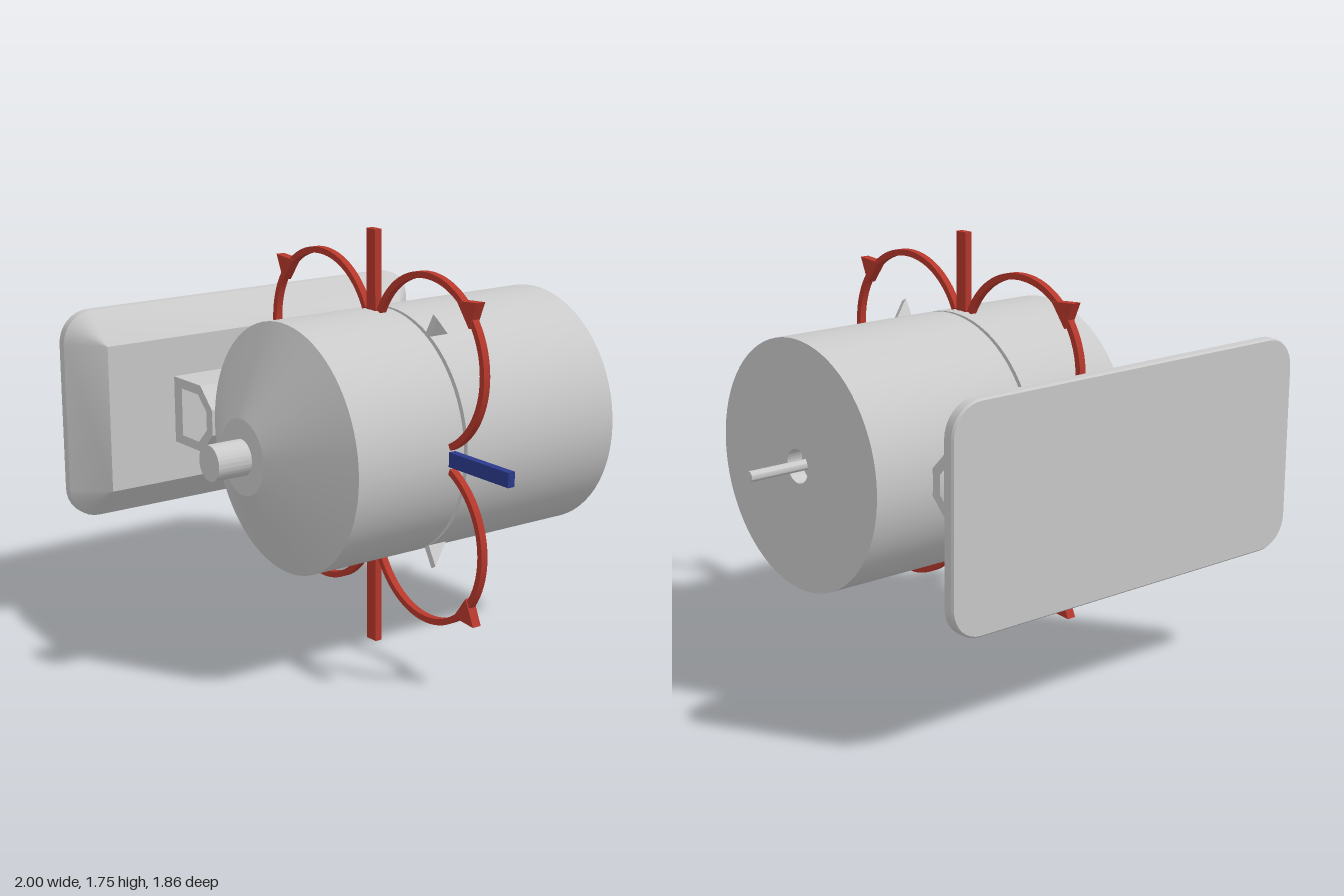
import * as THREE from 'three';
import { toCreasedNormals } from 'three/addons/utils/BufferGeometryUtils.js';
import { ConvexGeometry } from 'three/addons/geometries/ConvexGeometry.js';

const grey = new THREE.MeshStandardMaterial({ color: 0xcccccc });
const red = new THREE.MeshStandardMaterial({ color: 0xb8382c });
const blue = new THREE.MeshStandardMaterial({ color: 0x2b3a8c });

const AXIS_Y = 0.907, AXIS_Z = 0.06; // drum axis, parallel to x
const FIELD_X = -0.085;              // plane of the arrows and loops

function add(parent, name, geometry, material = grey) {
  const mesh = new THREE.Mesh(geometry, material);
  mesh.name = name;
  parent.add(mesh);
  return mesh;
}

const polygon = (pts) => new THREE.Shape(pts.map(([a, b]) => new THREE.Vector2(a, b)));

// Extrude a (z, y) outline along x, centred on x = cx
function extrudeX(shape, width, cx) {
  const g = new THREE.ExtrudeGeometry(shape, { depth: width, bevelEnabled: false, curveSegments: 40 });
  return toCreasedNormals(g.translate(0, 0, -width / 2).rotateY(-Math.PI / 2).translate(cx, 0, 0), 0.5);
}

// Revolve an [x, radius] profile about the x axis
function latheX(profile) {
  const g = new THREE.LatheGeometry(profile.map(([x, r]) => new THREE.Vector2(r, x)), 72);
  return toCreasedNormals(g.rotateZ(-Math.PI / 2), 0.4);
}

export function createModel() {
  const model = new THREE.Group();
  const machine = new THREE.Group();
  machine.name = 'machine';
  machine.position.set(0, AXIS_Y, AXIS_Z);
  model.add(machine);

  // Drum: cone end, seam groove, countersunk bore at the shaft end
  add(machine, 'drum', latheX([
    [-0.73, 0], [-0.73, 0.155], [-0.535, 0.513], [-0.024, 0.513], [-0.024, 0.48],
    [-0.007, 0.48], [-0.007, 0.513], [0.77, 0.513], [0.77, 0.07], [0.7, 0.07],
    [0.7, 0.045], [0.6, 0.045], [0.6, 0],
  ]));
  add(machine, 'rearStub', latheX([[-0.88, 0], [-0.88, 0.073], [-0.72, 0.073]]));
  add(machine, 'outputShaft', latheX([[0.59, 0.022], [1, 0.022], [1, 0]]));

  // Triangular fins beside the seam
  for (const angle of [Math.PI / 6, Math.PI * 5 / 6]) {
    const fin = new THREE.ExtrudeGeometry(polygon([[-0.007, 0.49], [0.08, 0.5], [0.08, 0.515], [-0.007, 0.603]]),
      { depth: 0.03, bevelEnabled: false });
    add(machine, 'fin', fin.translate(0, 0, -0.015).rotateX(angle));
  }

  // Straight field bars
  const bar = (name, h, d, y, z, material) =>
    add(machine, name, new THREE.BoxGeometry(0.032, h, d).translate(FIELD_X, y, z), material);
  bar('upperBar', 0.35, 0.06, 0.668, 0, red);
  bar('lowerBar', 0.417, 0.06, -0.6985, 0, red);
  bar('frontBar', 0.06, 0.39, 0, 0.675, blue);
  bar('backBar', 0.06, 0.27, 0, -0.615, blue);

  // Four field loops with arrowheads
  for (const sz of [1, -1]) for (const sy of [1, -1]) {
    const mid = Math.atan2(sy, sz), half = 1.9;
    const arc = new THREE.Shape();
    arc.absarc(sz * 0.36, sy * 0.36, 0.359, mid - half, mid + half, false);
    arc.absarc(sz * 0.36, sy * 0.36, 0.333, mid + half, mid - half, true);
    add(machine, 'fieldLoop', extrudeX(arc, 0.03, FIELD_X), red);
    const head = [[0.678, 0.648], [0.555, 0.638], [0.63, 0.541]].map(([z, y]) => [sz * z, sy * y]);
    add(machine, 'arrowhead', extrudeX(polygon(head), 0.04, FIELD_X), red);
  }

  // Hollow mounting bracket
  const bracket = polygon([[-0.755, 1.052], [-0.54, 1.052], [-0.45, 0.962], [-0.45, 0.853], [-0.54, 0.763], [-0.755, 0.763]]);
  bracket.holes.push(polygon([[-0.692, 1.01], [-0.56, 1.01], [-0.495, 0.947], [-0.495, 0.867], [-0.56, 0.803], [-0.692, 0.803]]));
  add(model, 'bracket', extrudeX(bracket, 1.05, -0.025));

  // Mounting plate: rounded slab tapering to a sharp rectangle
  const points = [];
  for (const [z, r] of [[-0.93, 0.128], [-0.922, 0.135], [-0.885, 0.135], [-0.753, 0]]) {
    for (const sx of [1, -1]) for (const sy of [1, -1]) {
      const steps = r > 0 ? 8 : 0;
      for (let i = 0; i <= steps; i++) {
        const a = i / 8 * Math.PI / 2;
        points.push(new THREE.Vector3(-0.1 + sx * (0.765 + r * Math.cos(a)), AXIS_Y + sy * (0.315 + r * Math.sin(a)), z));
      }
    }
  }
  add(model, 'mountingPlate', toCreasedNormals(new ConvexGeometry(points), 0.4));

  return model;
}
